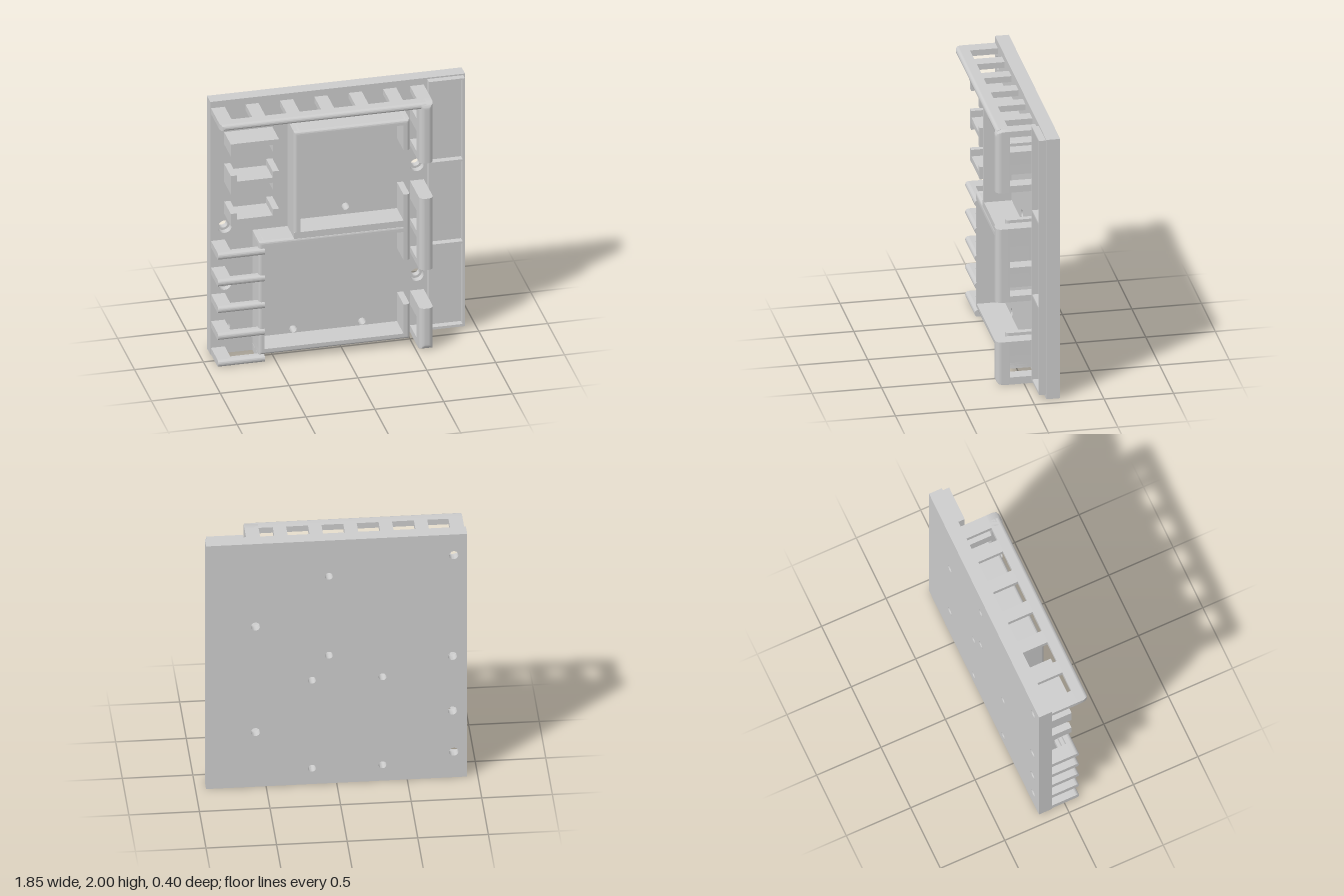
import * as THREE from 'three';
import { toCreasedNormals } from 'three/addons/utils/BufferGeometryUtils.js';

const PLATE = -0.1; // front face of the base plate

export function createModel() {
  const model = new THREE.Group();
  const mat = new THREE.MeshStandardMaterial({ color: 0xcccccc });

  const add = (name, geo, parent = model) => {
    const mesh = new THREE.Mesh(geo, mat);
    mesh.name = name;
    parent.add(mesh);
    return mesh;
  };
  const group = (name) => {
    const g = new THREE.Group();
    g.name = name;
    model.add(g);
    return g;
  };
  const box = (name, parent, x0, x1, y0, y1, z0, z1) => {
    const geo = new THREE.BoxGeometry(x1 - x0, y1 - y0, z1 - z0);
    geo.translate((x0 + x1) / 2, (y0 + y1) / 2, (z0 + z1) / 2);
    return add(name, geo, parent);
  };
  const rect = (T, x0, x1, y0, y1) => {
    const s = new T();
    s.moveTo(x0, y0).lineTo(x1, y0).lineTo(x1, y1).lineTo(x0, y1).closePath();
    return s;
  };
  const slab = (name, parent, shape, z0, z1) => {
    const geo = new THREE.ExtrudeGeometry(shape, { depth: z1 - z0, bevelEnabled: false, curveSegments: 12 });
    geo.translate(0, 0, z0);
    return add(name, toCreasedNormals(geo, 0.6), parent);
  };

  // Straight rail along x or y; front edges rounded by rLow / rHigh, front ends by eLow / eHigh
  const rail = (name, parent, axis, x0, x1, y0, y1, z0, z1, rLow, rHigh, eLow = 0, eHigh = 0) => {
    const alongX = axis === 'x';
    const [p0, p1, l0, l1] = alongX ? [y0, y1, x0, x1] : [-x1, -x0, y0, y1];
    const [ra, rb] = alongX ? [rLow, rHigh] : [rHigh, rLow];
    const s = new THREE.Shape();
    s.moveTo(p0, z0).lineTo(p1, z0).lineTo(p1, z1 - rb);
    if (rb) s.absarc(p1 - rb, z1 - rb, rb, 0, Math.PI / 2, false);
    s.lineTo(p0 + ra, z1);
    if (ra) s.absarc(p0 + ra, z1 - ra, ra, Math.PI / 2, Math.PI, false);
    s.closePath();
    const steps = eLow || eHigh ? Math.ceil((l1 - l0) / 0.007) : 1;
    const geo = new THREE.ExtrudeGeometry(s, { depth: l1 - l0, steps, bevelEnabled: false, curveSegments: 8 });
    const pos = geo.attributes.position;
    for (let i = 0; i < pos.count; i++) {
      const p = pos.getX(i), l = pos.getZ(i) + l0;
      let z = pos.getY(i);
      for (const [r, dist] of [[eLow, l - l0], [eHigh, l1 - l]]) {
        if (r && dist < r) z = Math.min(z, z1 - r + Math.sqrt(Math.max(0, r * r - (r - dist) ** 2)));
      }
      if (alongX) pos.setXYZ(i, l, p, z);
      else pos.setXYZ(i, -p, l, z);
    }
    return add(name, toCreasedNormals(geo, 0.6), parent);
  };

  // Base plate in two layers, so the mounting holes are counterbored from the front
  const mounts = [[-0.83, 1.83], [-0.82, 1.0], [-0.82, 0.55], [-0.83, 0.21], [0.575, 1.32], [0.575, 0.45]];
  const pins = [[0.055, 1.705], [0.055, 1.055], [-0.325, 0.855], [0.175, 0.855], [-0.325, 0.13], [0.175, 0.13]];
  const plate = group('basePlate');
  for (const [name, z0, z1, r] of [['plateBack', -0.2, -0.15, 0.033], ['plateFront', -0.15, PLATE, 0.05]]) {
    const s = rect(THREE.Shape, -0.925, 0.925, 0, 2);
    const hole = (x, y, rad) => s.holes.push(new THREE.Path().absarc(x, y, rad, 0, Math.PI * 2, true));
    mounts.forEach(([x, y]) => hole(x, y, r));
    pins.forEach(([x, y]) => hole(x, y, 0.028));
    slab(name, plate, s, z0, z1);
  }

  // Raised strip with three recessed panels
  const strip = rect(THREE.Shape, 0.65, 0.912, 0.03, 1.99);
  for (const [y0, y1] of [[0.045, 0.685], [0.7, 1.335], [1.35, 1.98]]) {
    strip.holes.push(rect(THREE.Path, 0.665, 0.895, y0, y1));
  }
  slab('panelStrip', model, strip, PLATE - 0.005, -0.05);

  // Two bay walls sharing the middle wall
  const bays = group('bayWalls');
  const R = 0.02, zb = PLATE - 0.005, zt = 0.1;
  rail('upperLeftWall', bays, 'y', -0.365, -0.32, 0.95, 1.79, zb, zt, R, 0, 0, R);
  rail('upperTopWall', bays, 'x', -0.365, 0.475, 1.75, 1.79, zb, zt, 0, R, R, R);
  rail('upperRightWall', bays, 'y', 0.43, 0.475, 1.55, 1.79, zb, zt, 0, R, 0, R);
  rail('sharedUpperWall', bays, 'x', -0.365, 0.45, 0.945, 0.995, zb, zt, 0, 0);
  rail('sharedLowerWall', bays, 'x', -0.62, 0.45, 0.905, 0.95, zb, zt, 0, R, R, 0);
  rail('middleRightWall', bays, 'y', 0.43, 0.475, 0.68, 1.2, zb, zt, 0, R);
  rail('lowerLeftWall', bays, 'y', -0.62, -0.58, 0.055, 0.95, zb, zt, R, 0, R, R);
  rail('lowerBottomWall', bays, 'x', -0.62, 0.475, 0.055, 0.1, zb, zt, R, 0, R, R);
  rail('lowerRightWall', bays, 'y', 0.43, 0.475, 0.055, 0.33, zb, zt, 0, R, R, 0);

  // Top cable rail: a lip carried by evenly spaced teeth
  const top = group('topRail');
  rail('topLip', top, 'x', -0.92, 0.575, 1.905, 1.95, 0.1, 0.19, 0.018, 0.025, 0.04, 0);
  const gaps = [[-0.82, -0.67], [-0.575, -0.42], [-0.325, -0.17], [-0.075, 0.08], [0.175, 0.33], [0.425, 0.525]];
  let start = -0.92;
  for (const [g0, g1] of gaps) {
    box('topTooth', top, start, g0, 1.905, 1.95, zb, 0.105);
    start = g1;
  }
  box('topTooth', top, start, 0.625, 1.905, 1.95, zb, 0.105);

  // Right-hand cable hooks: y range, end rounding, tooth ranges
  const hooks = [
    [1.48, 1.95, 0, 0.045, [[1.48, 1.53], [1.69, 1.79]]],
    [0.635, 1.2, 0, 0, [[0.635, 0.68], [0.85, 0.9], [1.06, 1.2]]],
    [0, 0.33, 0.045, 0, [[0, 0.055], [0.22, 0.33]]],
  ];
  for (const [y0, y1, e0, e1, teeth] of hooks) {
    const hook = group('sideHook');
    rail('hookLip', hook, 'y', 0.525, 0.625, y0, y1, 0.1, 0.2, 0.04, 0.04, e0, e1);
    for (const [t0, t1] of teeth) box('hookTooth', hook, 0.525, 0.625, t0, t1, zb, 0.105);
  }

  // Small brackets: two legs joined by a crossbar
  for (const [y0, y1, b0, b1] of [[1.655, 1.75, 1.71, 1.75], [1.355, 1.5, 1.41, 1.45], [1.105, 1.2, 1.105, 1.15]]) {
    const bracket = group('bracket');
    box('bracketLeg', bracket, -0.825, -0.78, y0, y1, zb, zt);
    box('bracketLeg', bracket, -0.52, -0.475, y0, y1, zb, zt);
    box('bracketBar', bracket, -0.785, -0.515, b0, b1, zb, zt - 0.002);
  }

  // Cable fingers: round-nosed bar held by a tooth at the outer end
  for (const y of [0.873, 0.662, 0.45, 0.238, 0.026]) {
    const finger = group('cableFinger');
    rail('fingerBar', finger, 'x', -0.92, -0.58, y - 0.026, y + 0.026, 0.06, 0.115, 0.0255, 0.0255);
    box('fingerTooth', finger, -0.92, -0.82, y - 0.026, y + 0.026, zb, 0.07);
    box('fingerRoot', finger, -0.62, -0.581, y - 0.026, y + 0.026, zb, 0.07);
  }

  return model;
}
